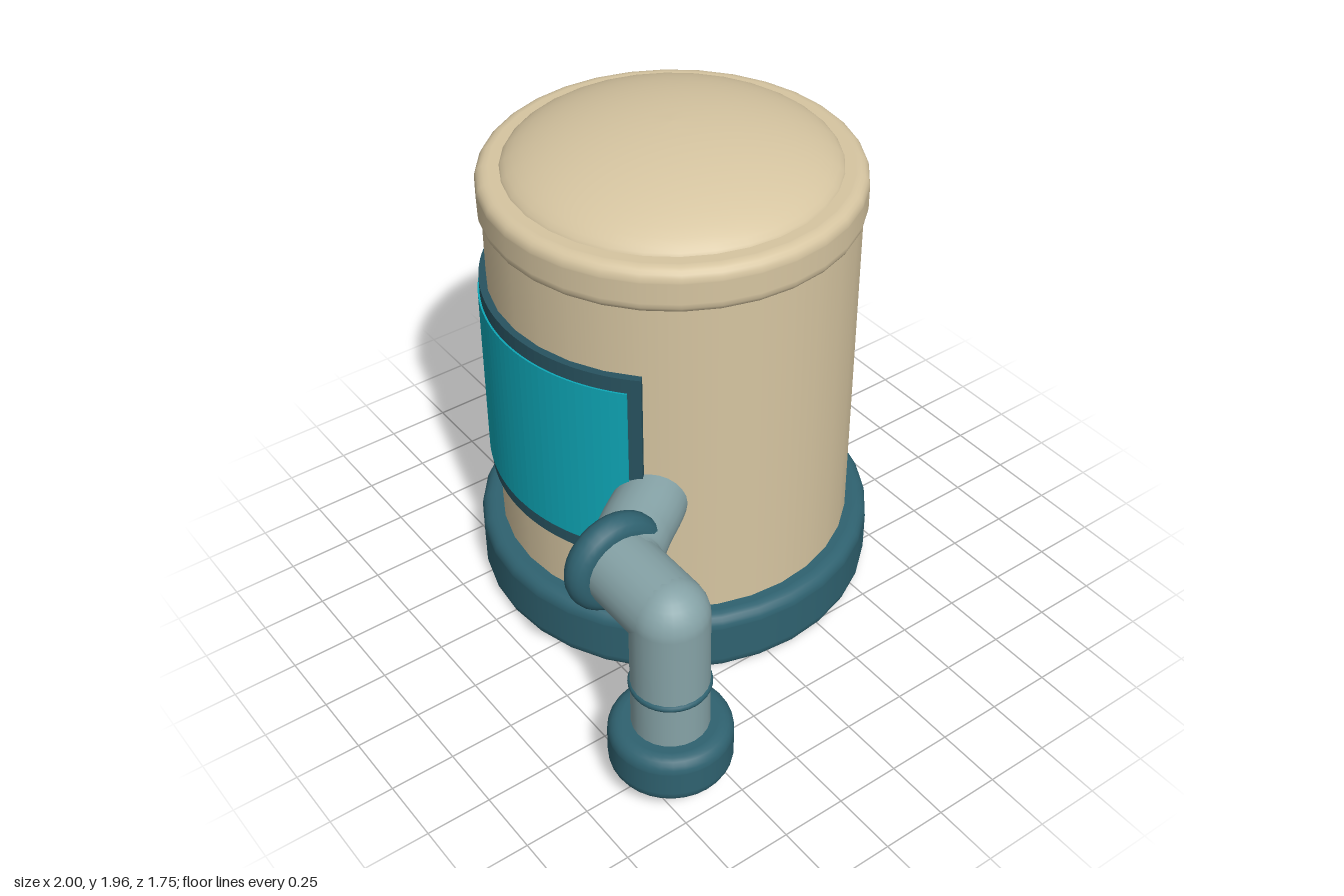
import * as THREE from 'three';

const mat = (name, color, side = THREE.FrontSide) => {
  const m = new THREE.MeshStandardMaterial({ color, side });
  m.name = name;
  return m;
};

// Solid disc with rounded rims, standing on y = 0
function roundedDisc(radius, height, bevel, segments) {
  const p = [new THREE.Vector2(0, 0), new THREE.Vector2(radius - bevel - 0.005, 0)];
  const corner = (cy, from) => {
    for (let i = 0; i <= 5; i++) {
      const a = from + (i / 5) * Math.PI / 2;
      p.push(new THREE.Vector2(radius - bevel + bevel * Math.cos(a), cy + bevel * Math.sin(a)));
    }
  };
  corner(bevel, -Math.PI / 2);
  p.push(new THREE.Vector2(radius, bevel + 0.005), new THREE.Vector2(radius, height - bevel - 0.005));
  corner(height - bevel, 0);
  p.push(new THREE.Vector2(radius - bevel - 0.005, height), new THREE.Vector2(0, height));
  return new THREE.LatheGeometry(p, segments);
}

// Curved plate wrapped around the front (+z) of a cylinder
function curvedPlate(inner, outer, halfAngle, height) {
  const s = new THREE.Shape();
  s.absarc(0, 0, outer, -Math.PI / 2 - halfAngle, -Math.PI / 2 + halfAngle, false);
  s.absarc(0, 0, inner, -Math.PI / 2 + halfAngle, -Math.PI / 2 - halfAngle, true);
  s.closePath();
  const g = new THREE.ExtrudeGeometry(s, { depth: height, bevelEnabled: false, curveSegments: 16 });
  return g.rotateX(-Math.PI / 2);
}

export function createModel() {
  const model = new THREE.Group();
  const tan = mat('tan', 0xd6c5a1);
  const teal = mat('dark teal', 0x2f6270);
  const frameTeal = mat('frame teal', 0x285360);
  const cyan = mat('cyan', 0x0ea7b7);
  const grey = mat('pipe grey', 0x86a3a7, THREE.DoubleSide);

  const add = (parent, name, geometry, material, x = 0, y = 0, z = 0) => {
    const mesh = new THREE.Mesh(geometry, material);
    mesh.name = name;
    mesh.position.set(x, y, z);
    parent.add(mesh);
    return mesh;
  };

  // Tank
  const tank = new THREE.Group();
  tank.name = 'tank';
  tank.position.set(-0.225, 0, -0.1);
  model.add(tank);
  add(tank, 'base', roundedDisc(0.775, 0.265, 0.05, 32), teal);
  add(tank, 'body', new THREE.CylinderGeometry(0.69, 0.69, 1.4, 32), tan, 0, 0.94, 0);
  add(tank, 'lidRim', roundedDisc(0.705, 0.18, 0.045, 32), tan, 0, 1.62, 0);
  const dome = [];
  for (let i = 0; i <= 12; i++) {
    const t = Math.cos((i / 12) * Math.PI / 2);
    dome.push(new THREE.Vector2(0.615 * t, 0.16 * Math.pow(1 - t * t, 0.7)));
  }
  add(tank, 'lidDome', new THREE.LatheGeometry(dome, 32), tan, 0, 1.8, 0);

  // Front window and its frame
  add(tank, 'windowFrame', curvedPlate(0.67, 0.716, Math.PI / 4, 0.835), frameTeal, 0, 0.52, 0);
  add(tank, 'window', curvedPlate(0.714, 0.723, 0.717, 0.715), cyan, 0, 0.58, 0);

  // Pipe: curved outlet, horizontal run, elbow and downpipe
  const pipe = new THREE.Group();
  pipe.name = 'pipe';
  model.add(pipe);
  const py = 0.785, px = 0.775, pz = 0.65, r = 0.141;
  const path = new THREE.CatmullRomCurve3(
    [[0.12, 0.2], [0.275, 0.375], [0.37, 0.51], [0.47, 0.62], [0.6, pz]]
      .map(([x, z]) => new THREE.Vector3(x, py, z)));
  add(pipe, 'outlet', new THREE.TubeGeometry(path, 24, 0.134, 24), grey);
  add(pipe, 'horizontalPipe', new THREE.CylinderGeometry(r, r, px - 0.44, 24, 1, true), grey,
    (px + 0.44) / 2, py, pz).rotation.z = Math.PI / 2;
  add(pipe, 'elbow', new THREE.SphereGeometry(r, 24, 16), grey, px, py, pz);
  add(pipe, 'downPipe', new THREE.CylinderGeometry(r, r, py - 0.2, 24, 1, true), grey,
    px, (py + 0.2) / 2, pz);

  // Collar, ring and foot
  add(pipe, 'collar', new THREE.TorusGeometry(0.139, 0.058, 16, 32), teal,
    0.446, py, pz).rotation.y = Math.PI / 2;
  add(pipe, 'ring', new THREE.TorusGeometry(0.133, 0.016, 10, 32), teal,
    px, 0.472, pz).rotation.x = Math.PI / 2;
  add(pipe, 'foot', roundedDisc(0.225, 0.205, 0.05, 32), teal, px, 0.08, pz);

  return model;
}
